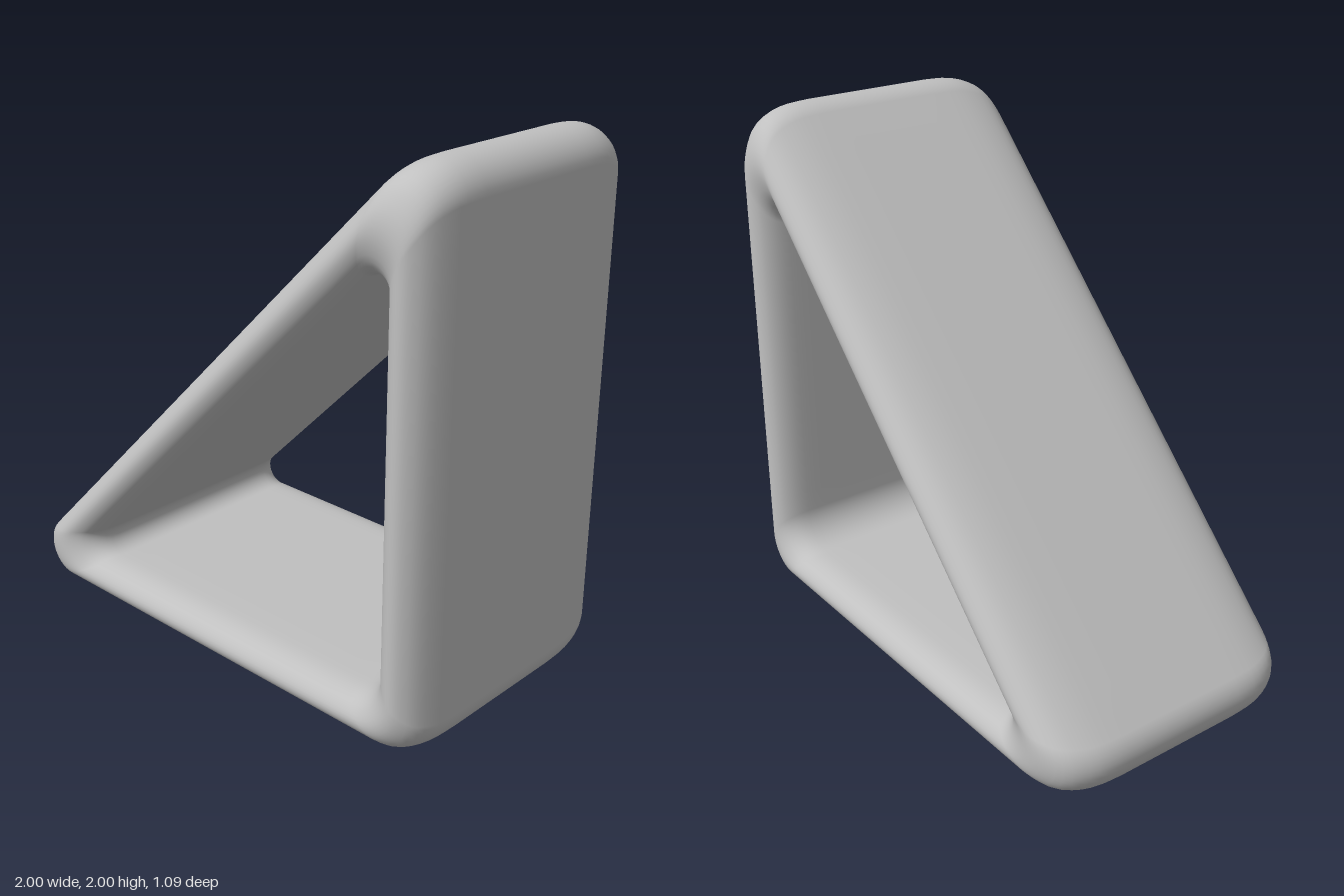
import * as THREE from 'three';

// Rounded right triangle as a counter-clockwise loop: bottom edge y = y0,
// right edge x = x1, slope y = x + c, with one fillet radius per corner.
function triangleLoop(y0, x1, c, rSquare, rTop, rLeft) {
  const k = 1 / Math.tan(Math.PI / 8);
  const corners = [
    { x: x1 - rSquare, y: y0 + rSquare, r: rSquare, from: -90, to: 0 },
    { x: x1 - rTop, y: x1 + c - rTop * k, r: rTop, from: 0, to: 135 },
    { x: y0 - c + rLeft * k, y: y0 + rLeft, r: rLeft, from: 135, to: 270 },
  ];
  const arcSteps = 14, edgeSteps = 14;
  const at = (q, deg) => {
    const a = THREE.MathUtils.degToRad(deg);
    return new THREE.Vector2(q.x + q.r * Math.cos(a), q.y + q.r * Math.sin(a));
  };
  const points = [];
  corners.forEach((q, n) => {
    for (let i = 0; i <= arcSteps; i++) points.push(at(q, q.from + (q.to - q.from) * i / arcSteps));
    const next = corners[(n + 1) % 3];
    const a = at(q, q.to), b = at(next, next.from);
    for (let i = 1; i < edgeSteps; i++) points.push(a.clone().lerp(b, i / edgeSteps));
  });
  return points;
}

// Soft bar section: s runs from the inner (0) to the outer (1) outline, z is depth.
function barSection() {
  const half = [[1, 0], [1, 0.26], [0.975, 0.38], [0.88, 0.47], [0.7, 0.524], [0.5, 0.546],
    [0.3, 0.538], [0.12, 0.505], [0.02, 0.45], [0, 0.36], [0, 0]];
  const back = half.slice(1, -1).reverse().map(([s, z]) => [s, -z]);
  const pts = [...half, ...back].map(([s, z]) => new THREE.Vector3(s, z, 0));
  const curve = new THREE.CatmullRomCurve3(pts, true, 'centripetal');
  const out = [];
  const steps = pts.length * 3;
  for (let i = 0; i < steps; i++) {
    const p = curve.getPoint(i / steps);
    out.push([THREE.MathUtils.clamp(p.x, 0, 1), p.y]);
  }
  return out;
}

// Sweep the section around between the two outlines.
function frameGeometry(outer, inner, section) {
  const n = outer.length, m = section.length;
  const position = [], index = [];
  for (let i = 0; i < n; i++) {
    for (const [s, z] of section) {
      const p = inner[i].clone().lerp(outer[i], s);
      position.push(p.x, p.y, z);
    }
    for (let j = 0; j < m; j++) {
      const i2 = (i + 1) % n, j2 = (j + 1) % m;
      const a = i * m + j, b = i2 * m + j, c = i2 * m + j2, d = i * m + j2;
      index.push(a, b, c, a, c, d);
    }
  }
  const g = new THREE.BufferGeometry();
  g.setAttribute('position', new THREE.Float32BufferAttribute(position, 3));
  g.setIndex(index);
  g.computeVertexNormals();
  return g;
}

export function createModel() {
  const group = new THREE.Group();
  group.name = 'triangularFrame';
  const grey = new THREE.MeshStandardMaterial({ color: 0xc0c0c0 });
  grey.name = 'light grey';

  const outer = triangleLoop(0, 1, 1.17, 0.12, 0.12, 0.12);
  const inner = triangleLoop(0.175, 0.825, 0.9, 0.14, 0.067, 0.065);
  const frame = new THREE.Mesh(frameGeometry(outer, inner, barSection()), grey);
  frame.name = 'frame';
  group.add(frame);
  return group;
}
